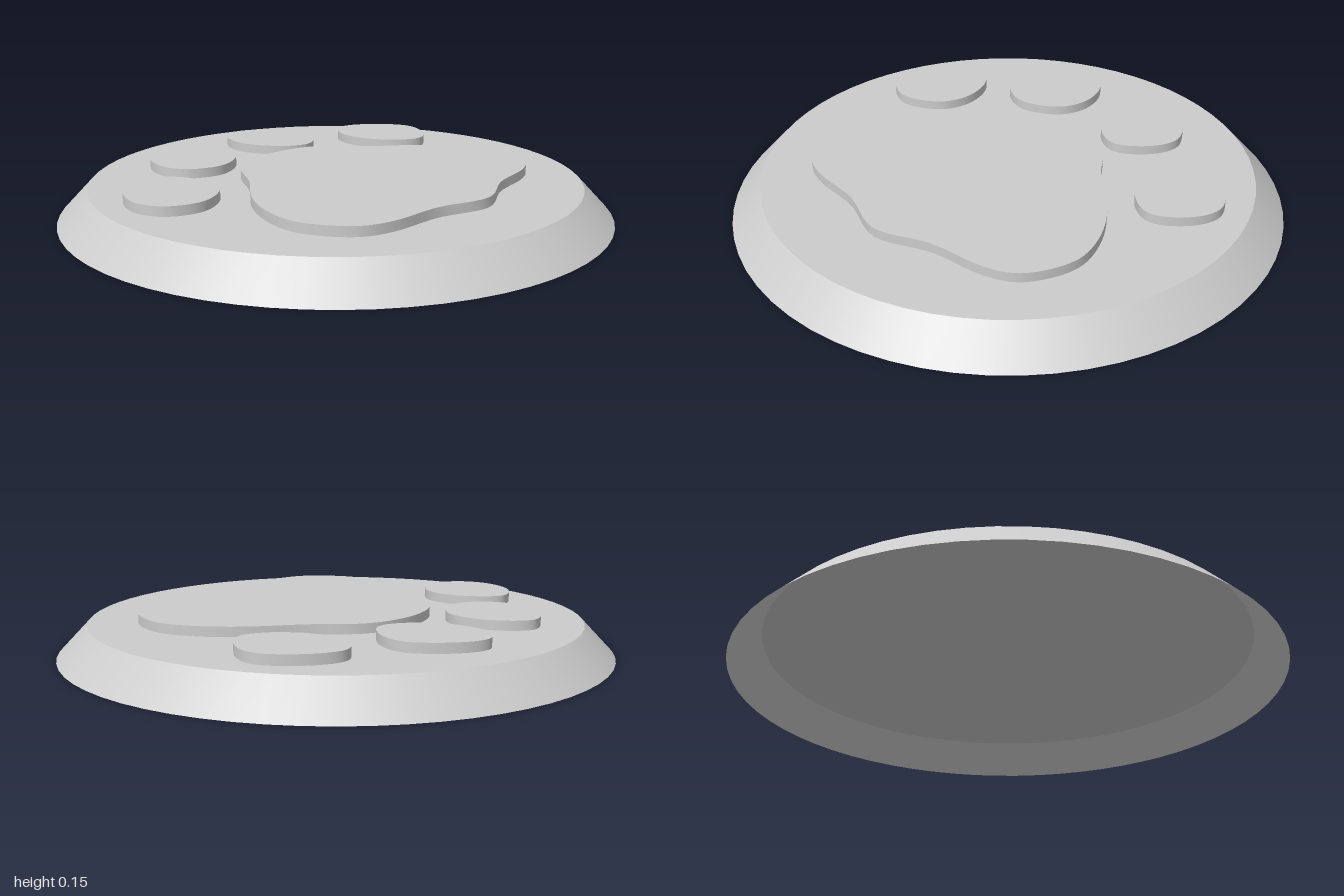
import * as THREE from 'three';
import { toCreasedNormals } from 'three/addons/utils/BufferGeometryUtils.js';

const BASE_H = 0.115, PAD_H = 0.035, TOP_R = 0.89, SIDES = 64;

// Raised pad: a closed smooth outline of [x, z] points, extruded upward.
function makePad(name, outline, material, divisions) {
  const curve = new THREE.CatmullRomCurve3(
    outline.map(([x, z]) => new THREE.Vector3(x, -z, 0)), true);
  const points = curve.getPoints(divisions).slice(0, -1).map(p => new THREE.Vector2(p.x, p.y));
  const geometry = new THREE.ExtrudeGeometry(new THREE.Shape(points), { depth: PAD_H, bevelEnabled: false });
  geometry.rotateX(-Math.PI / 2);
  const pad = new THREE.Mesh(toCreasedNormals(geometry, 0.7), material);
  pad.name = name;
  pad.position.y = BASE_H;
  return pad;
}

export function createModel() {
  const group = new THREE.Group();
  group.name = 'pawDisc';
  const material = new THREE.MeshStandardMaterial({ color: 0xcccccc });
  const shellMaterial = new THREE.MeshStandardMaterial({ color: 0xcccccc, side: THREE.DoubleSide });

  // Base: sloped rim and flat top, hollow and open underneath
  const rim = new THREE.Mesh(
    new THREE.CylinderGeometry(TOP_R, 1, BASE_H, SIDES, 1, true), shellMaterial);
  rim.name = 'slopedRim';
  rim.position.y = BASE_H / 2;
  const top = new THREE.Mesh(new THREE.CircleGeometry(TOP_R, SIDES).rotateX(-Math.PI / 2), shellMaterial);
  top.name = 'topPlate';
  top.position.y = BASE_H;
  group.add(rim, top);

  // Main pad: one half outline, mirrored across x = 0
  const half = [[0.14, -0.31], [0.24, -0.25], [0.34, -0.115], [0.49, 0.04], [0.57, 0.18],
    [0.597, 0.31], [0.565, 0.42], [0.5, 0.507], [0.4, 0.55], [0.2, 0.575]];
  const mirrored = half.map(([x, z]) => [-x, z]).reverse();
  group.add(makePad('mainPad', [[0, -0.333], ...half, [0, 0.643], ...mirrored], material, 120));

  // Toe pads: each side repeats its inner toe further out and nearer the front
  const leftToe = [[0.2, -0.714], [0.3, -0.665], [0.39, -0.516], [0.353, -0.41],
    [0.235, -0.326], [0.14, -0.37], [0.07, -0.516], [0.1, -0.65]];
  const rightToe = [[-0.16, -0.714], [-0.085, -0.645], [-0.056, -0.516], [-0.1, -0.41],
    [-0.24, -0.345], [-0.36, -0.4], [-0.39, -0.516], [-0.315, -0.655]];
  for (const [side, outline, dx] of [['left', leftToe, 0.376], ['right', rightToe, -0.376]]) {
    const outer = outline.map(([x, z]) => [x + dx, z + 0.289]);
    group.add(makePad(side + 'InnerToe', outline, material, 64));
    group.add(makePad(side + 'OuterToe', outer, material, 64));
  }
  return group;
}
